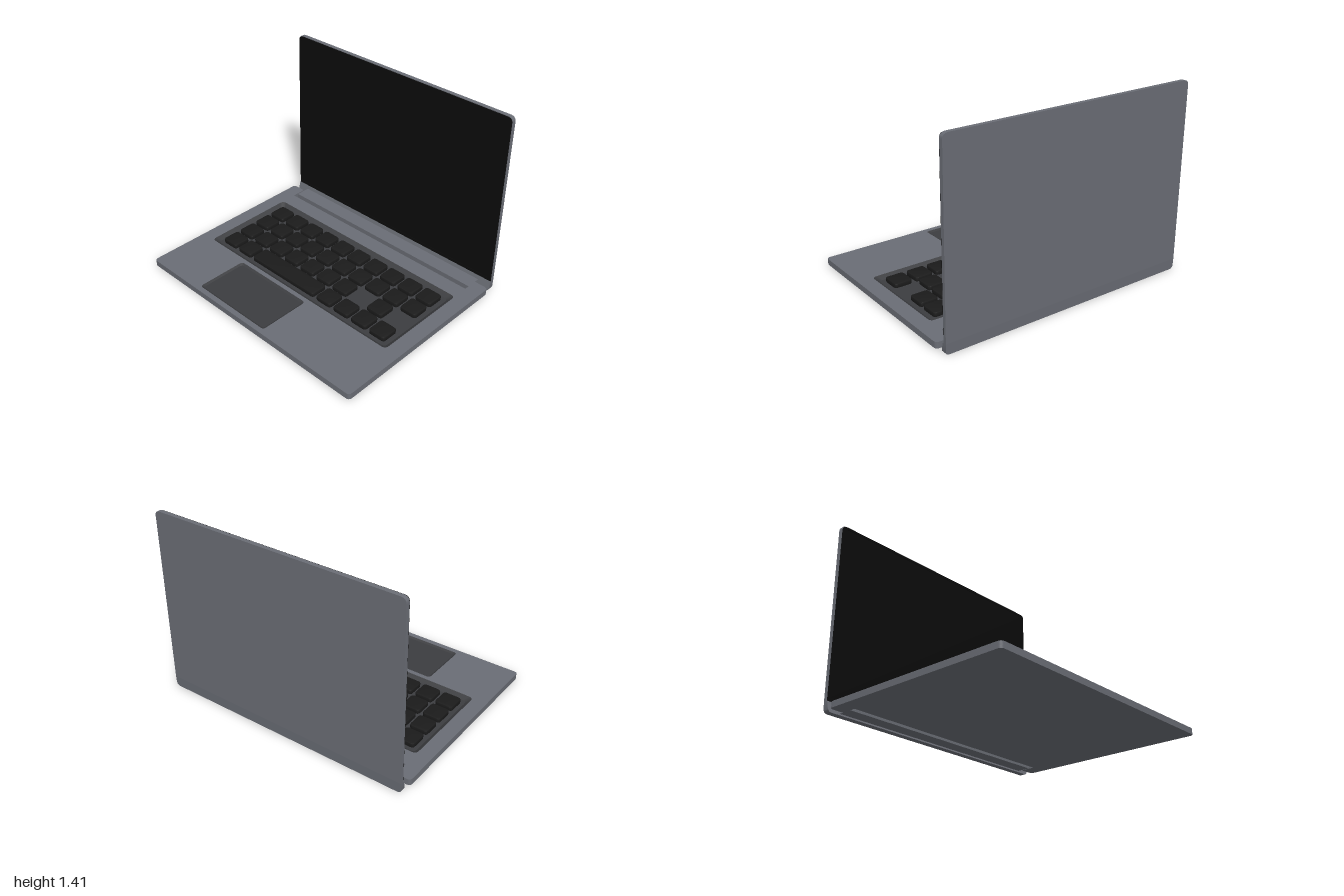
import * as THREE from 'three';
import { toCreasedNormals } from 'three/addons/utils/BufferGeometryUtils.js';

const mat = (color, side = THREE.FrontSide) => new THREE.MeshStandardMaterial({ color, side });
const body = mat(0x6a6d75);
const well = mat(0x3c3d40, THREE.DoubleSide);
const black = mat(0x0b0b0b);
const keyMat = mat(0x1b1b1b);

// Rounded rectangle; r0 rounds the two corners at y0, r1 those at y1
function roundRect(x0, x1, y0, y1, r0, r1 = r0, Type = THREE.Shape) {
  const s = new Type();
  s.moveTo(x0 + r0, y0);
  s.lineTo(x1 - r0, y0);
  if (r0) s.quadraticCurveTo(x1, y0, x1, y0 + r0);
  s.lineTo(x1, y1 - r1);
  if (r1) s.quadraticCurveTo(x1, y1, x1 - r1, y1);
  s.lineTo(x0 + r1, y1);
  if (r1) s.quadraticCurveTo(x0, y1, x0, y1 - r1);
  s.lineTo(x0, y0 + r0);
  if (r0) s.quadraticCurveTo(x0, y0, x0 + r0, y0);
  return s;
}

function add(parent, name, geometry, material) {
  const mesh = new THREE.Mesh(geometry, material);
  mesh.name = name;
  parent.add(mesh);
  return mesh;
}

// Horizontal plate: the shape's y becomes z, the top lies at the given height
function plate(shape, bottom, top, bevel = 0) {
  const g = new THREE.ExtrudeGeometry(shape, {
    depth: top - bottom - 2 * bevel, curveSegments: 6, bevelEnabled: bevel > 0,
    bevelThickness: bevel, bevelSize: bevel, bevelOffset: -bevel, bevelSegments: 2,
  });
  g.rotateX(Math.PI / 2);
  g.translate(0, top - bevel, 0);
  return toCreasedNormals(g, 0.6);
}

// Sunken tray with sloping walls
function tray(parent, name, [x0, x1, z0, z1], r, inset, top, floor) {
  const group = new THREE.Group();
  group.name = name;
  const inner = roundRect(x0 + inset, x1 - inset, z0 + inset, z1 - inset, r);
  const a = roundRect(x0, x1, z0, z1, r).getPoints(6);
  const b = inner.getPoints(6);
  const pos = [], index = [];
  a.forEach((p, i) => {
    pos.push(p.x, top, p.y, b[i].x, floor, b[i].y);
    if (i) index.push(2 * i - 2, 2 * i - 1, 2 * i, 2 * i, 2 * i - 1, 2 * i + 1);
  });
  const walls = new THREE.BufferGeometry();
  walls.setAttribute('position', new THREE.Float32BufferAttribute(pos, 3));
  walls.setIndex(index);
  add(group, name + 'Walls', toCreasedNormals(walls, 0.6), well);
  const bottom = new THREE.ShapeGeometry(inner, 6).rotateX(Math.PI / 2).translate(0, floor, 0);
  // turn the floor to face upward
  const idx = bottom.index.array;
  for (let i = 0; i < idx.length; i += 3) [idx[i], idx[i + 1]] = [idx[i + 1], idx[i]];
  bottom.computeVertexNormals();
  add(group, name + 'Floor', bottom, well);
  parent.add(group);
}

// Upright plate whose front and back follow straight lines in z from y0 to y1
function leaning(shape, y0, y1, front, back) {
  const g = new THREE.ExtrudeGeometry(shape, { depth: 1, curveSegments: 6, bevelEnabled: false });
  const p = g.attributes.position;
  for (let i = 0; i < p.count; i++) {
    const t = (p.getY(i) - y0) / (y1 - y0);
    const f = THREE.MathUtils.lerp(front[0], front[1], t);
    const k = THREE.MathUtils.lerp(back[0], back[1], t);
    p.setZ(i, THREE.MathUtils.lerp(k, f, p.getZ(i)));
  }
  return toCreasedNormals(g, 0.6);
}

// Base outline with the hinge notch cut into the rear edge
function baseShape() {
  const s = new THREE.Shape(), r = 0.03;
  s.moveTo(-1 + r, -0.685);
  s.lineTo(-0.89, -0.685);
  s.lineTo(-0.89, -0.57);
  s.lineTo(0.885, -0.57);
  s.lineTo(0.885, -0.685);
  s.lineTo(1 - r, -0.685);
  s.quadraticCurveTo(1, -0.685, 1, -0.685 + r);
  s.lineTo(1, 0.785 - r);
  s.quadraticCurveTo(1, 0.785, 1 - r, 0.785);
  s.lineTo(-1 + r, 0.785);
  s.quadraticCurveTo(-1, 0.785, -1, 0.785 - r);
  s.lineTo(-1, -0.685 + r);
  s.quadraticCurveTo(-1, -0.685, -1 + r, -0.685);
  return s;
}

export function createModel() {
  const model = new THREE.Group();
  model.name = 'laptop';

  // Base: closed underside plus a deck with openings
  const base = new THREE.Group();
  base.name = 'base';
  model.add(base);
  const keyArea = [-0.89, 0.885, -0.445, 0.31];
  const padArea = [-0.505, 0.165, 0.345, 0.745];
  add(base, 'underside', plate(baseShape(), 0.01, 0.028), body);
  const deck = baseShape();
  deck.holes.push(roundRect(...keyArea, 0.035, 0.035, THREE.Path), roundRect(...padArea, 0.025, 0.025, THREE.Path));
  add(base, 'deck', plate(deck, 0.028, 0.055), body);
  tray(base, 'keyboardWell', keyArea, 0.035, 0.033, 0.055, 0.03);
  tray(base, 'touchpad', padArea, 0.025, 0.016, 0.055, 0.045);

  // Keys: [first column, last column] for each key in four rows
  const singles = (...cols) => cols.map((c) => [c, c]);
  const rows = [
    singles(0, 1, 2, 3, 4, 5, 6, 7, 8, 9),
    singles(0, 1, 2, 3, 4, 5, 6, 7, 8, 9),
    singles(0, 1, 2, 3, 4, 5, 6, 8),
    [...singles(0, 1), [2, 5], ...singles(6, 7, 8, 9)],
  ];
  const keys = new THREE.Group();
  keys.name = 'keys';
  base.add(keys);
  rows.forEach((row, r) => row.forEach(([c0, c1]) => {
    const x0 = -0.83 + 0.1676 * c0, x1 = -0.69 + 0.1676 * c1, z = -0.315 + 0.165 * r;
    add(keys, c1 > c0 ? 'spaceBar' : 'key', plate(roundRect(x0, x1, z - 0.07, z + 0.07, 0.025), 0.028, 0.062, 0.005), keyMat);
  }));

  // Lid: grey shell, dark bezel and slightly sunken screen
  const lid = new THREE.Group();
  lid.name = 'lid';
  model.add(lid);
  const W = 0.984, Y0 = 0.08, Y1 = 1.41;
  add(lid, 'lidShell', leaning(roundRect(-W, W, Y0, Y1, 0, 0.04), Y0, Y1, [-0.746, -0.754], [-0.771, -0.785]), body);
  const bezel = roundRect(-W + 0.004, W - 0.004, Y0, Y1 - 0.004, 0, 0.038);
  bezel.holes.push(roundRect(-W + 0.022, W - 0.022, Y0 + 0.022, Y1 - 0.022, 0.015, 0.025, THREE.Path));
  add(lid, 'bezel', leaning(bezel, Y0, Y1, [-0.738, -0.746], [-0.746, -0.754]), black);
  add(lid, 'screen', leaning(roundRect(-W + 0.02, W - 0.02, Y0 + 0.02, Y1 - 0.02, 0.01), Y0, Y1, [-0.742, -0.75], [-0.75, -0.758]), black);

  // Angled foot of the lid and the hinge bar in the base notch
  add(lid, 'lidFoot', leaning(roundRect(-W, W, 0, Y0, 0.03, 0), 0, Y0, [-0.717, -0.738], [-0.766, -0.771]), body);
  const bar = new THREE.BoxGeometry(1.77, 0.038, 0.12).translate(-0.0025, 0.031, -0.675);
  bar.setIndex([...bar.index.array].slice(12)); // open ends
  add(lid, 'hingeBar', bar, body);

  return model;
}
